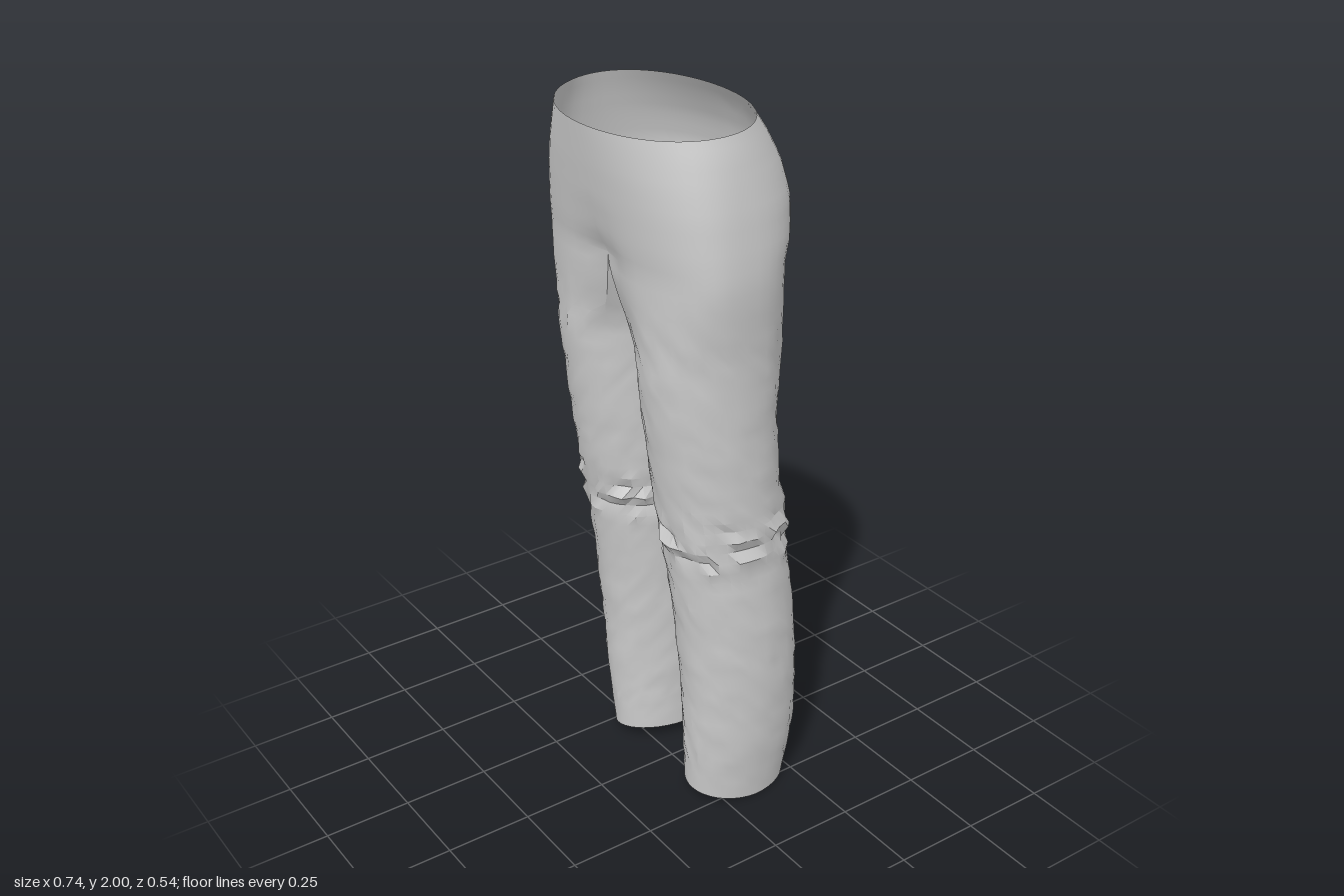
import * as THREE from 'three';
import { toCreasedNormals } from 'three/addons/utils/BufferGeometryUtils.js';

const OUTER = 28, INNER = 10, SPLIT = 130 * Math.PI / 180;
const CROTCH_Y = 1.64, THIGH_Y = 1.35;

// height, half width, front z, back z, squareness, front dip, back cleft
const HIPS = [
  [2.0, 0.31, 0.27, -0.15, 1.0, 0, 0],
  [1.95, 0.324, 0.265, -0.183, 0.95, 0, 0],
  [1.88, 0.338, 0.258, -0.218, 0.88, 0, 0.006],
  [1.8, 0.352, 0.248, -0.236, 0.82, 0, 0.014],
  [1.7, 0.364, 0.235, -0.226, 0.78, 0.01, 0.03],
  [CROTCH_Y, 0.368, 0.225, -0.2, 0.76, 0.03, 0.05],
];

// height, inner x, outer x, front z, back z
const LEG = [
  [THIGH_Y, 0.017, 0.349, 0.206, -0.175],
  [1.2, 0.024, 0.344, 0.19, -0.17],
  [1.0, 0.03, 0.34, 0.163, -0.188],
  [0.93, 0.034, 0.34, 0.152, -0.207],
  [0.8, 0.04, 0.335, 0.13, -0.217],
  [0.6, 0.049, 0.338, 0.104, -0.245],
  [0.4, 0.057, 0.333, 0.085, -0.264],
  [0.2, 0.065, 0.319, 0.075, -0.268],
  [0.0, 0.07, 0.29, 0.065, -0.248],
];

const { lerp, smoothstep } = THREE.MathUtils;

function sample(rows, y) {
  let i = 0;
  while (i < rows.length - 2 && y < rows[i + 1][0]) i++;
  const t = (rows[i][0] - y) / (rows[i][0] - rows[i + 1][0]);
  return rows[i].map((v, k) => lerp(v, rows[i + 1][k], t));
}

function seeded(seed) {
  return () => {
    seed = (seed * 16807) % 2147483647;
    return seed / 2147483647 - 0.5;
  };
}

// Half of a hip section, from front centre around the outside to back centre
function hipArc(y) {
  const [, rx, front, back, p, dip, cleft] = sample(HIPS, y);
  const ring = [];
  for (let j = 0; j <= OUTER; j++) {
    const a = Math.PI / 2 - Math.PI * j / OUTER;
    const s = Math.sin(a), ends = j === 0 || j === OUTER;
    const x = ends ? 0 : rx * Math.pow(Math.cos(a), p);
    const fall = Math.exp(-((x / 0.08) ** 2));
    let z = 0.05 + Math.sign(s) * Math.pow(Math.abs(s), p) * (s > 0 ? front - 0.05 : 0.05 - back);
    z += (s > 0 ? -dip : cleft) * fall;
    // the waist opening sits a little lower at the front
    const tilt = smoothstep(y, 1.8, 2) * 0.018 * smoothstep(z, -0.15, 0.27);
    ring.push([x, y - tilt, z]);
  }
  return ring;
}

// Top of a leg: lower hip arc closed by the sagging crotch seam
function crotchRing() {
  const ring = hipArc(CROTCH_Y);
  const front = ring[0][2], back = ring[OUTER][2];
  for (let k = 1; k < INNER; k++) {
    const s = k / INNER;
    ring.push([0, CROTCH_Y - 0.07 * Math.pow(Math.sin(Math.PI * s), 0.7), lerp(back, front, s)]);
  }
  return ring;
}

function legAngle(j) {
  return j <= OUTER
    ? lerp(SPLIT, -SPLIT, j / OUTER)
    : -SPLIT - (2 * Math.PI - 2 * SPLIT) * (j - OUTER) / INNER;
}

// One leg section with knee folds and light cloth wrinkles
function legRing(y, rand, phase) {
  const [, xin, xout, front, back] = sample(LEG, y);
  const ring = [];
  const knee = Math.exp(-(((y - 0.87) / 0.085) ** 2));
  const hem = 1 - smoothstep(y, 0, 0.25);
  for (let j = 0; j < OUTER + INNER; j++) {
    const a = legAngle(j), c = Math.cos(a), s = Math.sin(a);
    const fold = Math.sin(y * 80 + 1.6 * Math.sin(2 * a + phase));
    const d = smoothstep(y, 0, 0.12) * (knee * (0.008 * fold + 0.016 * rand()) + 0.005 * rand());
    const lift = Math.max(0, 0.02 - 0.02 * c + 0.012 * s) * hem;
    ring.push([
      (xin + xout) / 2 + c * ((xout - xin) / 2 + d),
      y + lift,
      (front + back) / 2 + s * ((front - back) / 2 + d),
    ]);
  }
  return ring;
}

function legRings(seed) {
  const rand = seeded(seed), top = crotchRing(), rings = [top];
  const thigh = legRing(THIGH_Y, rand, seed);
  // blend the crotch into a round thigh
  const steps = 9;
  for (let i = 1; i < steps; i++) {
    const t = i / steps, e = smoothstep(t, 0, 1);
    rings.push(top.map((p, j) => [
      lerp(p[0], thigh[j][0], e) + 0.006 * rand() * e,
      lerp(p[1], thigh[j][1], t),
      lerp(p[2], thigh[j][2], e) + 0.009 * rand() * e,
    ]));
  }
  const count = 42;
  rings.push(thigh);
  for (let i = 1; i <= count; i++) rings.push(legRing(THIGH_Y * (1 - i / count), rand, seed));
  return rings;
}

// Stitch rings (listed downward) into triangles; side = -1 mirrors across x
function loft(rings, closed, side, out) {
  const n = rings[0].length;
  const put = (...pts) => {
    if (side < 0) pts.reverse();
    for (const p of pts) out.push(p[0] * side, p[1], p[2]);
  };
  for (let i = 0; i < rings.length - 1; i++) {
    const A = rings[i], B = rings[i + 1];
    for (let j = 0; j < (closed ? n : n - 1); j++) {
      const k = (j + 1) % n;
      put(A[j], B[j], B[k]);
      put(A[j], B[k], A[k]);
    }
  }
}

export function createModel() {
  const group = new THREE.Group();
  group.name = 'trousers';
  const material = new THREE.MeshStandardMaterial({ color: 0xcccccc, side: THREE.DoubleSide });

  const hipRings = [];
  for (let i = 0; i <= 14; i++) hipRings.push(hipArc(lerp(2, CROTCH_Y, i / 14)));

  const positions = [], parts = [];
  const addPart = (name, build) => {
    const start = positions.length;
    build();
    parts.push([name, start, positions.length]);
  };
  addPart('hips', () => [1, -1].forEach((side) => loft(hipRings, false, side, positions)));
  addPart('leftLeg', () => loft(legRings(11), true, 1, positions));
  addPart('rightLeg', () => loft(legRings(47), true, -1, positions));

  // Shade the garment as a whole so the joins stay smooth, then split it by part
  let whole = new THREE.BufferGeometry();
  whole.setAttribute('position', new THREE.Float32BufferAttribute(positions, 3));
  whole = toCreasedNormals(whole, 0.5);
  for (const [name, start, end] of parts) {
    const geometry = new THREE.BufferGeometry();
    for (const key of ['position', 'normal']) {
      const values = whole.getAttribute(key).array.slice(start, end);
      geometry.setAttribute(key, new THREE.BufferAttribute(values, 3));
    }
    const mesh = new THREE.Mesh(geometry, material);
    mesh.name = name;
    group.add(mesh);
  }
  return group;
}
